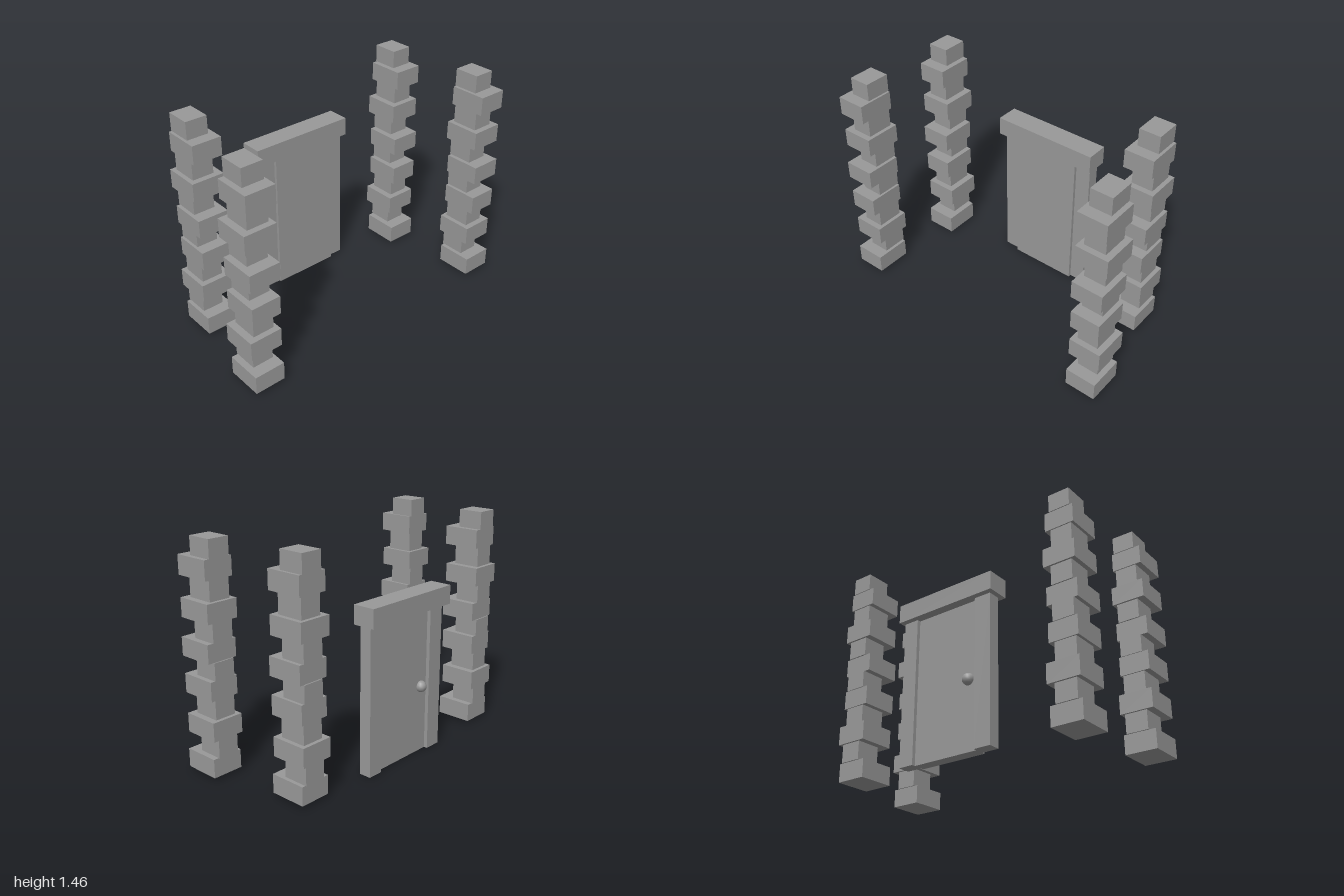
import * as THREE from 'three';

const stone = new THREE.MeshStandardMaterial({ color: 0x999999 });

// Box given by its minimum and maximum on each axis
function box(name, x0, x1, y0, y1, z0, z1) {
  const mesh = new THREE.Mesh(new THREE.BoxGeometry(x1 - x0, y1 - y0, z1 - z0), stone);
  mesh.position.set((x0 + x1) / 2, (y0 + y1) / 2, (z0 + z1) / 2);
  mesh.name = name;
  return mesh;
}

// Stone heights, and per stone: x start, x end (right row of pillars), depth
const levels = [0.02, 0.14, 0.26, 0.381, 0.506, 0.627, 0.738, 0.855, 0.978, 1.097, 1.224, 1.344, 1.458];
const stones = [
  [-0.4, -0.161, 0.203], [-0.408, -0.242, 0.14],
  [-0.42, -0.181, 0.212], [-0.396, -0.22, 0.14],
  [-0.403, -0.164, 0.192], [-0.408, -0.242, 0.14],
];

// Pillar of alternating wide and narrow stones
function pillar(name, dx, wideZ, narrowZ) {
  const group = new THREE.Group();
  group.name = name;
  for (let i = 0; i < 12; i++) {
    // the upper half repeats the pattern of the lower half
    const [x0, x1, depth] = stones[i % 6];
    const wide = i % 2 === 0;
    const z = wide ? wideZ : narrowZ;
    group.add(box(wide ? 'wideStone' : 'narrowStone', x0 + dx, x1 + dx,
      levels[i], levels[i + 1], z - depth / 2, z + depth / 2));
  }
  return group;
}

export function createModel() {
  const model = new THREE.Group();
  model.name = 'doorwayWithPillars';

  // Four stone pillars
  model.add(
    pillar('frontRightPillar', 0, 0.803, 0.811),
    pillar('frontLeftPillar', 0.624, 0.893, 0.882),
    pillar('backRightPillar', 0, -0.777, -0.785),
    pillar('backLeftPillar', 0.624, -0.893, -0.888),
  );

  // Door frame, with the leaf standing proud of the jambs on the inner side
  const door = new THREE.Group();
  door.name = 'doorway';
  door.add(
    box('frontJamb', -0.427, -0.348, 0, 0.945, 0.212, 0.325),
    box('backJamb', -0.427, -0.348, 0, 0.945, -0.343, -0.241),
    box('lintel', -0.464, -0.315, 0.945, 1.065, -0.361, 0.357),
    box('doorLeaf', -0.403, -0.327, 0, 0.945, -0.241, 0.212),
  );
  const knob = new THREE.Mesh(new THREE.SphereGeometry(0.037, 12, 8), stone);
  knob.name = 'doorKnob';
  knob.position.set(-0.41, 0.44, 0.155);
  door.add(knob);
  model.add(door);

  return model;
}
